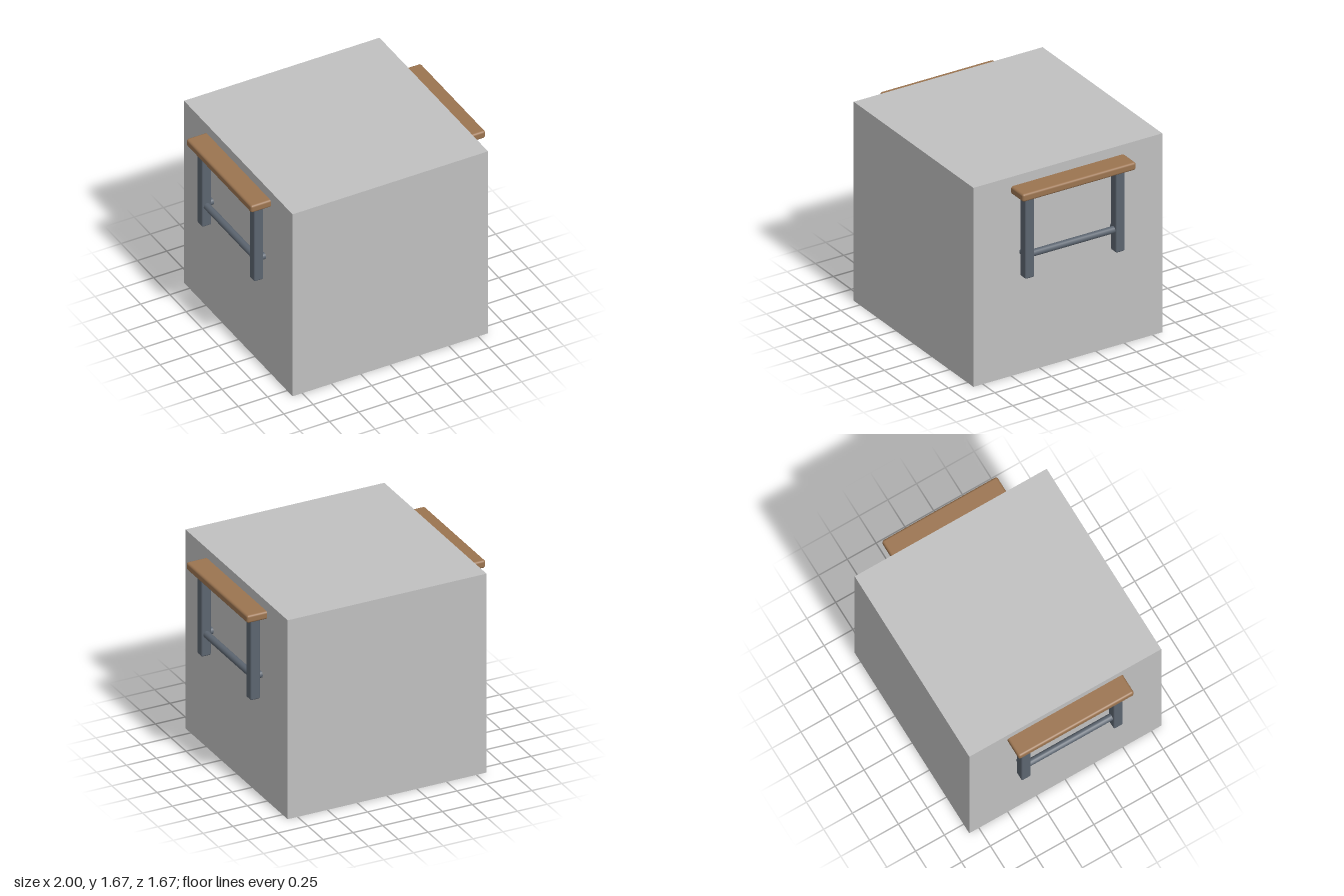
import * as THREE from 'three';
import { RoundedBoxGeometry } from 'three/addons/geometries/RoundedBoxGeometry.js';

export function createModel() {
  const model = new THREE.Group();
  model.name = 'tableWithBlock';

  const material = (name, color) => {
    const m = new THREE.MeshStandardMaterial({ color });
    m.name = name;
    return m;
  };
  const grey = material('blockGrey', 0xc0c0c0);
  const wood = material('wood', 0x9b7450);
  const metal = material('slateMetal', 0x5c6570);

  const add = (name, geometry, mat, x, y, z) => {
    const mesh = new THREE.Mesh(geometry, mat);
    mesh.name = name;
    mesh.position.set(x, y, z);
    model.add(mesh);
    return mesh;
  };

  // Large cube enclosing the middle of the table
  const side = 1.667;
  add('block', new THREE.BoxGeometry(side, side, side), grey, 0, side / 2, 0);

  // Table top
  add('tableTop', new RoundedBoxGeometry(2, 0.065, 1, 3, 0.018), wood, 0, 1.555, 0);

  // Four square legs
  const legX = 0.9, legZ = 0.4, railY = 1.02;
  const legGeometry = new RoundedBoxGeometry(0.08, 0.7, 0.08, 3, 0.012);
  for (const sx of [-1, 1]) {
    for (const sz of [-1, 1]) add('leg', legGeometry, metal, sx * legX, 1.187, sz * legZ);
  }

  // Round rails joining the legs
  const rail = (length) => new THREE.CylinderGeometry(0.028, 0.028, length, 16);
  for (const s of [-1, 1]) {
    add('endRail', rail(legZ * 2), metal, s * legX, railY, 0).rotation.x = Math.PI / 2;
    add('longRail', rail(legX * 2), metal, 0, railY, s * legZ).rotation.z = Math.PI / 2;
  }

  return model;
}
